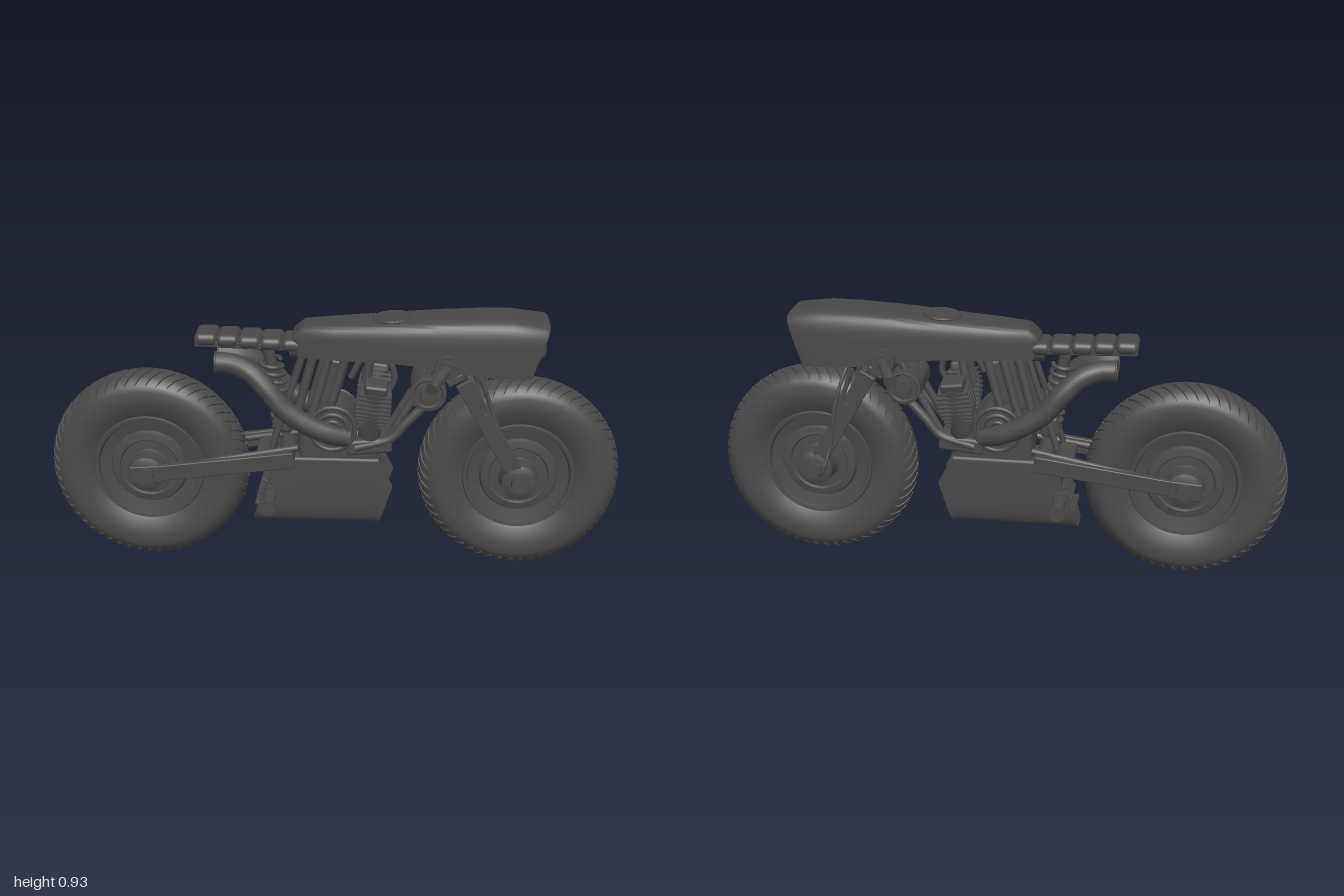
import * as THREE from 'three';
import { toCreasedNormals } from 'three/addons/utils/BufferGeometryUtils.js';
import { RoundedBoxGeometry } from 'three/addons/geometries/RoundedBoxGeometry.js';

const darkGrey = new THREE.MeshStandardMaterial({ color: 0x484848, side: THREE.DoubleSide });
darkGrey.name = 'dark grey';
const V = (x, y, z) => new THREE.Vector3(x, y, z);

export function createModel() {
  const root = new THREE.Group();
  root.name = 'motorcycle';

  // helpers
  const add = (name, geo, x = 0, y = 0, z = 0, parent = root) => {
    const m = new THREE.Mesh(geo, darkGrey);
    m.name = name;
    m.position.set(x, y, z);
    parent.add(m);
    return m;
  };
  const both = (fn) => [1, -1].forEach(fn);
  const box = (name, w, h, d, x, y, z, tilt = 0) => {
    const m = add(name, new RoundedBoxGeometry(w, h, d, 2, Math.min(w, h, d) * 0.2), x, y, z);
    m.rotation.z = tilt;
    return m;
  };
  const rod = (name, a, b, r, r2 = r) => {
    const d = b.clone().sub(a);
    const m = add(name, new THREE.CylinderGeometry(r2, r, d.length(), 20));
    m.position.copy(a).addScaledVector(d, 0.5);
    m.quaternion.setFromUnitVectors(V(0, 1, 0), d.normalize());
    return m;
  };
  const pipe = (name, pts, r, n = 48) =>
    add(name, new THREE.TubeGeometry(new THREE.CatmullRomCurve3(pts), n, r, 14));
  const latheZ = (pts, segs = 80) => {
    const g = new THREE.LatheGeometry(pts.map(p => new THREE.Vector2(p[0], p[1])), segs);
    return toCreasedNormals(g.rotateX(Math.PI / 2), 0.6);
  };
  const surface = (pos, idx, crease = 0.6) => {
    const g = new THREE.BufferGeometry();
    g.setAttribute('position', new THREE.Float32BufferAttribute(pos, 3));
    g.setIndex(idx);
    return toCreasedNormals(g, crease);
  };

  // arched shell; station = [x at base, x at crown, half width, base y, crown y, hollow depth]
  const shell = (stations, power) => {
    const n = 24, ring = 2 * (n + 1), pos = [], idx = [];
    for (const [xb, xt, w, yb, yt, hollow] of stations) {
      for (let k = 0; k < ring; k++) {
        const inner = k > n, a = Math.PI * (inner ? ring - 1 - k : k) / n;
        const c = Math.cos(a), s = Math.max(0, Math.sin(a));
        const f = Math.pow(s, power) * (inner ? hollow * 0.92 : 1);
        const z = Math.sign(c) * Math.pow(Math.abs(c), power) * w * (inner ? 0.88 : 1);
        pos.push(xb + (xt - xb) * f, yb + (yt - yb) * f, z);
      }
    }
    const last = (stations.length - 1) * ring;
    for (let i = 0; i < stations.length - 1; i++) for (let k = 0; k < ring; k++) {
      const a = i * ring + k, b = i * ring + (k + 1) % ring;
      idx.push(a, a + ring, b, b, a + ring, b + ring);
    }
    for (let k = 0; k < n; k++) {
      const j = ring - 1 - k;
      idx.push(k, k + 1, j, j, k + 1, j - 1);
      idx.push(last + k, last + j, last + k + 1, last + j, last + j - 1, last + k + 1);
    }
    return surface(pos, idx);
  };

  // wheels: tyre, dished disc and chevron tread
  const treadLine = [[0.348, 0], [0.345, 0.022], [0.336, 0.046], [0.326, 0.06], [0.314, 0.07]];
  const tread = () => {
    const pos = [], idx = [], count = 54, step = Math.PI * 2 / count;
    for (let c = 0; c < count; c++) for (const s of [1, -1]) {
      const start = pos.length / 3;
      treadLine.forEach(([r, z], i) => {
        for (const [edge, lift] of [[0, -0.006], [0.03, 0.003], [0.82, 0.003], [0.85, -0.006]]) {
          const a = (c + edge + z * 19) * step, R = r + lift * (1 - i * 0.12);
          pos.push(R * Math.cos(a), R * Math.sin(a), s * (z + lift * i * 0.16));
        }
        if (i) for (let k = 0; k < 3; k++) {
          const p = start + (i - 1) * 4 + k;
          if (s > 0) idx.push(p, p + 1, p + 4, p + 1, p + 5, p + 4);
          else idx.push(p, p + 4, p + 1, p + 1, p + 4, p + 5);
        }
      });
    }
    return surface(pos, idx, 0.5);
  };
  const half = [[0.001, 0.085], [0.03, 0.085], [0.032, 0.06], [0.065, 0.058], [0.07, 0.048], [0.1, 0.046],
    [0.105, 0.054], [0.13, 0.05], [0.136, 0.038], [0.175, 0.046], [0.18, 0.06], [0.192, 0.062], [0.196, 0.054],
    [0.225, 0.07], [0.26, 0.077], [0.295, 0.0765], [0.314, 0.068], [0.333, 0.046], [0.342, 0.022], [0.345, 0]];
  const wheelProfile = half.map(([r, z]) => [r, -z]).concat(half.slice(0, -1).reverse());
  for (const [name, x] of [['rearWheel', -0.649], ['frontWheel', 0.647]]) {
    const wheel = new THREE.Group();
    wheel.name = name;
    wheel.position.set(x, 0.354, 0);
    root.add(wheel);
    add('tyreAndDisc', latheZ(wheelProfile), 0, 0, 0, wheel);
    add('chevronTread', tread(), 0, 0, 0, wheel);
    const hub = [[0.001, -0.138], [0.028, -0.138], [0.03, -0.12], [0.045, -0.119], [0.062, -0.112], [0.064, -0.09],
      [0.064, 0.09], [0.062, 0.112], [0.045, 0.119], [0.03, 0.12], [0.028, 0.138], [0.001, 0.138]];
    add('hub', latheZ(hub, 40), 0, 0, 0, wheel);
  }

  // fuel tank and hollow nose
  add('tankBody', shell([
    [-0.12, -0.145, 0.048, 0.785, 0.83, 0], [-0.12, -0.135, 0.058, 0.782, 0.86, 0],
    [-0.11, -0.10, 0.066, 0.78, 0.889, 0], [0.0, 0.0, 0.083, 0.78, 0.896, 0],
    [0.2, 0.2, 0.1, 0.778, 0.909, 0], [0.3, 0.3, 0.106, 0.77, 0.917, 0],
    [0.36, 0.36, 0.109, 0.76, 0.921, 0], [0.38, 0.38, 0.110, 0.757, 0.922, 1],
    [0.5, 0.5, 0.114, 0.742, 0.928, 1], [0.6, 0.6, 0.115, 0.738, 0.929, 1],
    [0.665, 0.715, 0.114, 0.737, 0.915, 1], [0.67, 0.724, 0.111, 0.742, 0.908, 1]], 0.38));
  add('fuelCap', new THREE.CylinderGeometry(0.06, 0.064, 0.01, 48), 0.2, 0.909, 0).rotation.z = 0.065;
  const capRing = add('fuelCapRing', new THREE.TorusGeometry(0.063, 0.004, 8, 48), 0.2, 0.91, 0);
  capRing.rotation.set(Math.PI / 2, 0.065, 0);

  // triple headlight cluster
  box('lightHousing', 0.08, 0.1, 0.17, 0.645, 0.83, 0);
  for (const [z, y, r] of [[0.038, 0.815, 0.042], [-0.047, 0.815, 0.031], [-0.014, 0.866, 0.022]]) {
    rod('lightBarrel', V(0.63, y, z), V(0.69, y, z), r);
    add('lightLens', new THREE.SphereGeometry(r * 0.92, 24, 16), 0.688, y, z).scale.x = 0.8;
    add('lightRim', new THREE.TorusGeometry(r, 0.004, 8, 32), 0.69, y, z).rotation.y = Math.PI / 2;
  }

  // ribbed seat on its pan
  box('seatPan', 0.36, 0.022, 0.11, -0.29, 0.815, 0, -0.03);
  for (let i = 0; i < 5; i++)
    add('seatPad', new RoundedBoxGeometry(0.08, 0.044, 0.125, 5, 0.021), -0.432 + i * 0.074, 0.834 - i * 0.004, 0);

  // girder fork, clamps and bars
  both(s => {
    box('forkBlade', 0.058, 0.4, 0.02, 0.541, 0.545, s * 0.105, 0.52);
    pipe('forkUpper', [V(0.52, 0.6, s * 0.103), V(0.49, 0.66, s * 0.092), V(0.465, 0.71, s * 0.062), V(0.44, 0.78, s * 0.05)], 0.015);
    rod('forkStay', V(0.62, 0.4, s * 0.095), V(0.5, 0.73, s * 0.095), 0.008);
    rod('barMount', V(0.385, 0.775, s * 0.1), V(0.385, 0.775, s * 0.135), 0.042, 0.042);
    rod('barMountCap', V(0.385, 0.775, s * 0.13), V(0.383, 0.774, s * 0.148), 0.03);
    rod('grip', V(0.385, 0.776, s * 0.13), V(0.335, 0.75, s * 0.238), 0.018);
    rod('gripEnd', V(0.337, 0.751, s * 0.235), V(0.331, 0.748, s * 0.249), 0.021);
  });
  box('lowerClamp', 0.06, 0.025, 0.23, 0.415, 0.727, 0, 0.5);
  box('upperClamp', 0.09, 0.025, 0.17, 0.385, 0.79, 0, 0.5);
  rod('steeringHead', V(0.41, 0.7, 0), V(0.35, 0.82, 0), 0.035);
  pipe('brakeHose', [V(0.5, 0.78, -0.02), V(0.53, 0.71, -0.085), V(0.56, 0.6, -0.12), V(0.58, 0.45, -0.135), V(0.6, 0.38, -0.158),
    V(0.615, 0.35, -0.155), V(0.64, 0.35, -0.12)], 0.006);

  // swingarm and axle blocks
  both(s => {
    box('swingarmBlade', 0.48, 0.058, 0.022, -0.37, 0.392, s * 0.112, 0.13);
    box('axleBlock', 0.11, 0.065, 0.024, -0.65, 0.356, s * 0.112, 0.08);
    rod('swingarmStay', V(-0.6, 0.37, s * 0.095), V(-0.12, 0.45, s * 0.07), 0.012);
  });
  rod('swingarmPivot', V(-0.16, 0.418, -0.12), V(-0.16, 0.418, 0.12), 0.03);
  box('swingarmBridge', 0.06, 0.05, 0.2, -0.235, 0.41, 0, 0.12);

  // hollow belly scoop with rear louvres and foot pegs
  add('bellyScoop', shell([
    [-0.2, -0.285, 0.074, 0.405, 0.155, 0.85], [-0.08, -0.08, 0.08, 0.405, 0.155, 0.95],
    [0.165, 0.14, 0.082, 0.405, 0.155, 0.95], [0.21, 0.16, 0.082, 0.315, 0.155, 0.95]], 0.42));
  box('bellyTop', 0.35, 0.05, 0.155, -0.01, 0.39, 0);
  box('bellyCore', 0.28, 0.17, 0.135, -0.08, 0.28, 0);
  for (let i = 0; i < 4; i++) box('rearLouvre', 0.03, 0.012, 0.13, -0.225 - i * 0.012, 0.36 - i * 0.045, 0, -0.5);
  both(s => {
    rod('footPeg', V(-0.22, 0.27, s * 0.06), V(-0.22, 0.27, s * 0.17), 0.025, 0.019);
    rod('footPegEnd', V(-0.22, 0.27, s * 0.168), V(-0.22, 0.27, s * 0.187), 0.028);
    rod('pegBracket', V(-0.22, 0.27, s * 0.06), V(-0.22, 0.27, s * 0.085), 0.034);
  });

  // crankcase and gearbox
  box('crankcase', 0.28, 0.13, 0.14, 0.02, 0.46, 0);
  box('engineShelf', 0.16, 0.055, 0.18, 0.125, 0.465, 0, 0.1);
  rod('clutchCover', V(0, 0.53, -0.085), V(0, 0.53, 0.085), 0.078);
  both(s => [0.078, 0.052, 0.026].forEach(r =>
    add('coverRing', new THREE.TorusGeometry(r, 0.008, 8, 36), 0, 0.53, s * 0.085)));

  // finned cylinders leaning out to each side
  both(s => {
    const barrel = new THREE.Group();
    barrel.name = 'finnedCylinder';
    barrel.position.set(0.125, 0.5, s * 0.055);
    barrel.rotation.set(s * 0.22, 0, -0.12);
    root.add(barrel);
    add('barrelCore', new THREE.CylinderGeometry(0.04, 0.04, 0.19, 24), 0, 0.095, 0, barrel);
    for (let i = 0; i < 9; i++) {
      const w = 0.088 + 0.032 * Math.sin(i / 8 * 2.6);
      add('fin', new THREE.BoxGeometry(w, 0.008, w * 0.75), 0, 0.05 + i * 0.0165, 0, barrel);
    }
    add('rockerCover', new RoundedBoxGeometry(0.08, 0.034, 0.07, 2, 0.01), 0, 0.2, 0, barrel);
  });
  pipe('intakeLoop', [V(0.06, 0.7, 0.03), V(0.1, 0.765, 0.03), V(0.18, 0.77, 0.03), V(0.21, 0.7, 0.03), V(0.18, 0.64, 0.03)], 0.011);

  // round oil canister, front down tubes and frame
  add('oilCanister', latheZ([[0.001, -0.088], [0.025, -0.088], [0.028, -0.08], [0.045, -0.078], [0.05, -0.086], [0.06, -0.084],
    [0.062, 0.084], [0.05, 0.086], [0.045, 0.078], [0.028, 0.08], [0.025, 0.088], [0.001, 0.088]], 40), 0.325, 0.665, 0);
  both(s => {
    rod('downTube', V(0.35, 0.77, s * 0.05), V(0.19, 0.48, s * 0.055), 0.013);
    pipe('frontHeader', [V(0.32, 0.62, s * 0.06), V(0.25, 0.55, s * 0.07), V(0.2, 0.495, s * 0.075), V(0.08, 0.46, s * 0.08)], 0.016);
    for (const [x, lean] of [[-0.065, 0.07], [-0.01, 0.075], [0.045, 0.075], [0.13, 0.05]])
      rod('frameTube', V(x, 0.79, s * 0.045), V(x - lean, 0.52, s * 0.06), 0.015);
    rod('seatStay', V(-0.1, 0.79, s * 0.05), V(-0.22, 0.42, s * 0.07), 0.011);
  });
  rod('backbone', V(-0.15, 0.79, 0), V(0.37, 0.78, 0), 0.03);
  box('airBox', 0.1, 0.2, 0.07, -0.02, 0.67, 0, -0.27);

  // coil-over shock
  const low = V(-0.165, 0.48, 0), high = V(-0.225, 0.79, 0);
  rod('shockDamper', low, high, 0.02);
  const coil = [];
  for (let i = 0; i <= 108; i++) {
    const a = i / 12 * Math.PI * 2;
    coil.push(low.clone().lerp(high, 0.08 + 0.8 * i / 108).add(V(0.036 * Math.cos(a), 0, 0.036 * Math.sin(a))));
  }
  pipe('shockSpring', coil, 0.008, 220);
  box('shockMount', 0.07, 0.07, 0.09, -0.175, 0.53, 0, -0.2);

  // swept exhausts with open ends below the seat
  both(s => {
    pipe('exhaust', [V(0.05, 0.495, s * 0.07), V(0, 0.51, s * 0.085), V(-0.07, 0.54, s * 0.095), V(-0.16, 0.6, s * 0.097),
      V(-0.22, 0.67, s * 0.088), V(-0.28, 0.725, s * 0.068), V(-0.34, 0.748, s * 0.05), V(-0.4, 0.752, s * 0.045)], 0.036, 64);
    add('exhaustLip', new THREE.TorusGeometry(0.035, 0.004, 8, 28), -0.4, 0.752, s * 0.045).rotation.y = Math.PI / 2;
  });
  return root;
}
